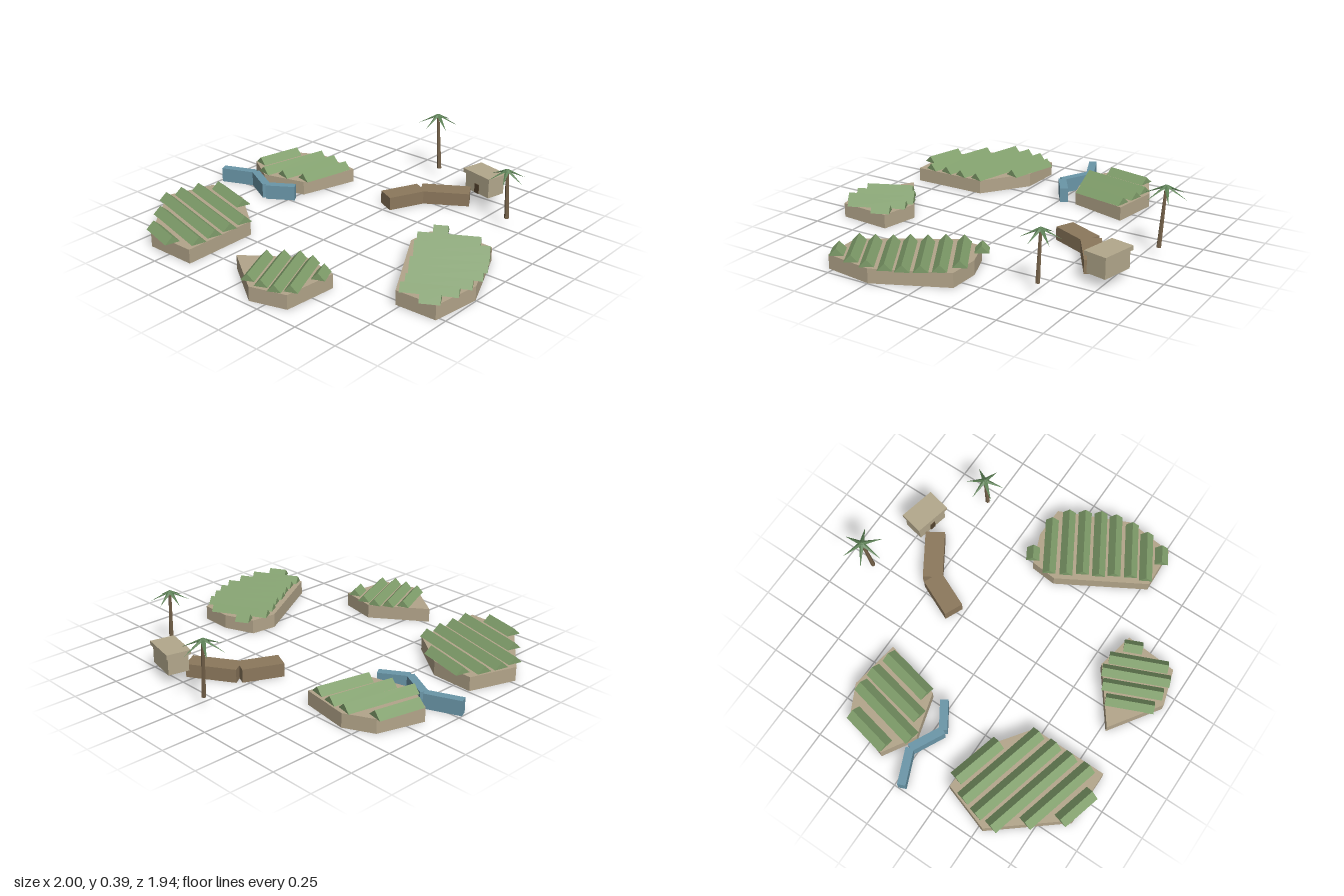
import * as THREE from 'three';

const mat = (name, color) => {
  const m = new THREE.MeshStandardMaterial({ color });
  m.name = name;
  return m;
};

export function createModel() {
  const soil = mat('soil', 0xb3a58a), crop = mat('crop green', 0x7f9d6a), water = mat('canal blue', 0x6a96a8);
  const road = mat('road brown', 0x8c785c), wall = mat('mud wall', 0xb3a88c), dark = mat('door brown', 0x54442f);
  const bark = mat('palm bark', 0x75624a), leaf = mat('palm leaf', 0x5c8055);
  const root = new THREE.Group();
  root.name = 'farmland';

  const add = (parent, geometry, material, name) => {
    const mesh = new THREE.Mesh(geometry, material);
    mesh.name = name;
    parent.add(mesh);
    return mesh;
  };

  // Polygonal soil block with triangular crop rows given as [x0, z0, x1, z1]
  const BASE = 0.08, RIDGE = 0.04;
  function field(name, outline, width, rows) {
    const g = new THREE.Group();
    g.name = name;
    const shape = new THREE.Shape(outline.map(([x, z]) => new THREE.Vector2(x, -z)));
    const slab = new THREE.ExtrudeGeometry(shape, { depth: BASE, bevelEnabled: false });
    add(g, slab.rotateX(-Math.PI / 2), soil, 'soilBlock');
    const section = new THREE.Shape([
      new THREE.Vector2(-width / 2, 0), new THREE.Vector2(width / 2, 0), new THREE.Vector2(0, RIDGE)]);
    for (const [x0, z0, x1, z1] of rows) {
      const depth = Math.hypot(x1 - x0, z1 - z0);
      const row = add(g, new THREE.ExtrudeGeometry(section, { depth, bevelEnabled: false }), crop, 'cropRow');
      row.position.set(x0, BASE - 0.001, z0);
      row.rotation.y = Math.atan2(x1 - x0, z1 - z0);
    }
    root.add(g);
  }

  field('backLeftField',
    [[-0.83, -0.41], [-0.67, -0.49], [-0.385, -0.445], [-0.48, -0.11], [-0.73, -0.04], [-0.91, -0.15]], 0.094,
    [[-0.81, -0.405, -0.865, -0.145], [-0.66, -0.465, -0.75, -0.055],
      [-0.555, -0.46, -0.63, -0.09], [-0.44, -0.435, -0.505, -0.13]]);

  field('frontLeftField',
    [[-0.85, 0.26], [-0.6, 0.27], [-0.34, 0.46], [-0.34, 0.9], [-0.64, 0.9], [-0.94, 0.53]], 0.087,
    [[-0.8, 0.265, -0.51, 0.345], [-0.87, 0.355, -0.345, 0.495], [-0.9, 0.457, -0.345, 0.605],
      [-0.91, 0.56, -0.35, 0.71], [-0.795, 0.7, -0.35, 0.82], [-0.68, 0.845, -0.46, 0.905]]);

  field('rightField',
    [[0.47, -0.08], [0.64, -0.145], [0.82, -0.14], [0.995, 0.25], [0.96, 0.525], [0.725, 0.535], [0.455, 0.07]], 0.076,
    [[0.48, -0.09, 0.55, -0.13], [0.465, 0.03, 0.755, -0.135], [0.51, 0.115, 0.85, -0.08],
      [0.565, 0.19, 0.9, -0.003], [0.605, 0.273, 0.945, 0.077], [0.655, 0.345, 0.975, 0.16],
      [0.7, 0.427, 0.985, 0.263], [0.73, 0.508, 0.98, 0.365], [0.865, 0.53, 0.955, 0.478]]);

  field('frontField',
    [[-0.115, 0.78], [0.175, 0.565], [0.39, 0.61], [0.365, 0.91], [0.165, 0.97]], 0.074,
    [[0.015, 0.69, 0.122, 0.935], [0.08, 0.63, 0.213, 0.935], [0.148, 0.585, 0.297, 0.93],
      [0.23, 0.58, 0.36, 0.88], [0.335, 0.61, 0.377, 0.706]]);

  // Chain of straight boxes along a ground path
  function strip(name, points, width, height, material) {
    const g = new THREE.Group();
    g.name = name;
    for (let i = 0; i < points.length - 1; i++) {
      const [x0, z0] = points[i], [x1, z1] = points[i + 1];
      const length = Math.hypot(x1 - x0, z1 - z0);
      const seg = add(g, new THREE.BoxGeometry(width, height, length), material, name + 'Segment');
      seg.position.set((x0 + x1) / 2, height / 2, (z0 + z1) / 2);
      seg.rotation.y = Math.atan2(x1 - x0, z1 - z0);
    }
    root.add(g);
  }
  strip('canal', [[-0.99, 0.045], [-0.8, -0.035], [-0.62, 0.057], [-0.477, -0.035]], 0.046, 0.084, water);
  strip('road', [[-0.015, -0.295], [0.08, -0.505], [0.317, -0.653]], 0.112, 0.076, road);

  // Flat-roofed hut with a doorway
  const hut = new THREE.Group();
  hut.name = 'hut';
  hut.position.set(0.353, 0.055, -0.745);
  hut.rotation.y = -0.22;
  add(hut, new THREE.BoxGeometry(0.19, 0.098, 0.118), wall, 'hutWalls').position.y = 0.049;
  add(hut, new THREE.BoxGeometry(0.214, 0.024, 0.138), wall, 'hutRoof').position.y = 0.11;
  add(hut, new THREE.BoxGeometry(0.034, 0.055, 0.006), dark, 'hutDoor').position.set(0, 0.028, 0.06);
  root.add(hut);

  // Palm: leaning trunk and six drooping pointed fronds
  function palm(name, base, top, reach, turn) {
    const g = new THREE.Group();
    g.name = name;
    const a = new THREE.Vector3(...base), b = new THREE.Vector3(...top);
    const axis = b.clone().sub(a);
    const up = new THREE.Vector3(0, 1, 0);
    const trunkShape = new THREE.CylinderGeometry(0.008, 0.013, axis.length(), 6).toNonIndexed();
    trunkShape.computeVertexNormals();
    const trunk = add(g, trunkShape, bark, 'trunk');
    trunk.position.copy(a).add(b).multiplyScalar(0.5);
    trunk.quaternion.setFromUnitVectors(up, axis.normalize());
    for (let i = 0; i < 6; i++) {
      const holder = new THREE.Group();
      holder.name = 'frondHolder';
      holder.position.copy(b);
      holder.rotation.y = -(turn + i * Math.PI / 3);
      const geo = new THREE.ConeGeometry(0.014, reach * 1.12, 4).toNonIndexed();
      geo.computeVertexNormals();
      geo.scale(0.5, 1, 1).translate(0, reach * 0.56, 0);
      const frond = add(holder, geo, leaf, 'frond');
      frond.rotation.z = -Math.PI / 2 - 0.46;
      g.add(holder);
    }
    root.add(g);
  }
  palm('leftPalm', [-0.04, 0.055, -0.837], [-0.07, 0.387, -0.85], 0.119, Math.PI / 6);
  palm('rightPalm', [0.657, 0.055, -0.52], [0.64, 0.336, -0.525], 0.106, 0.13);

  return root;
}
